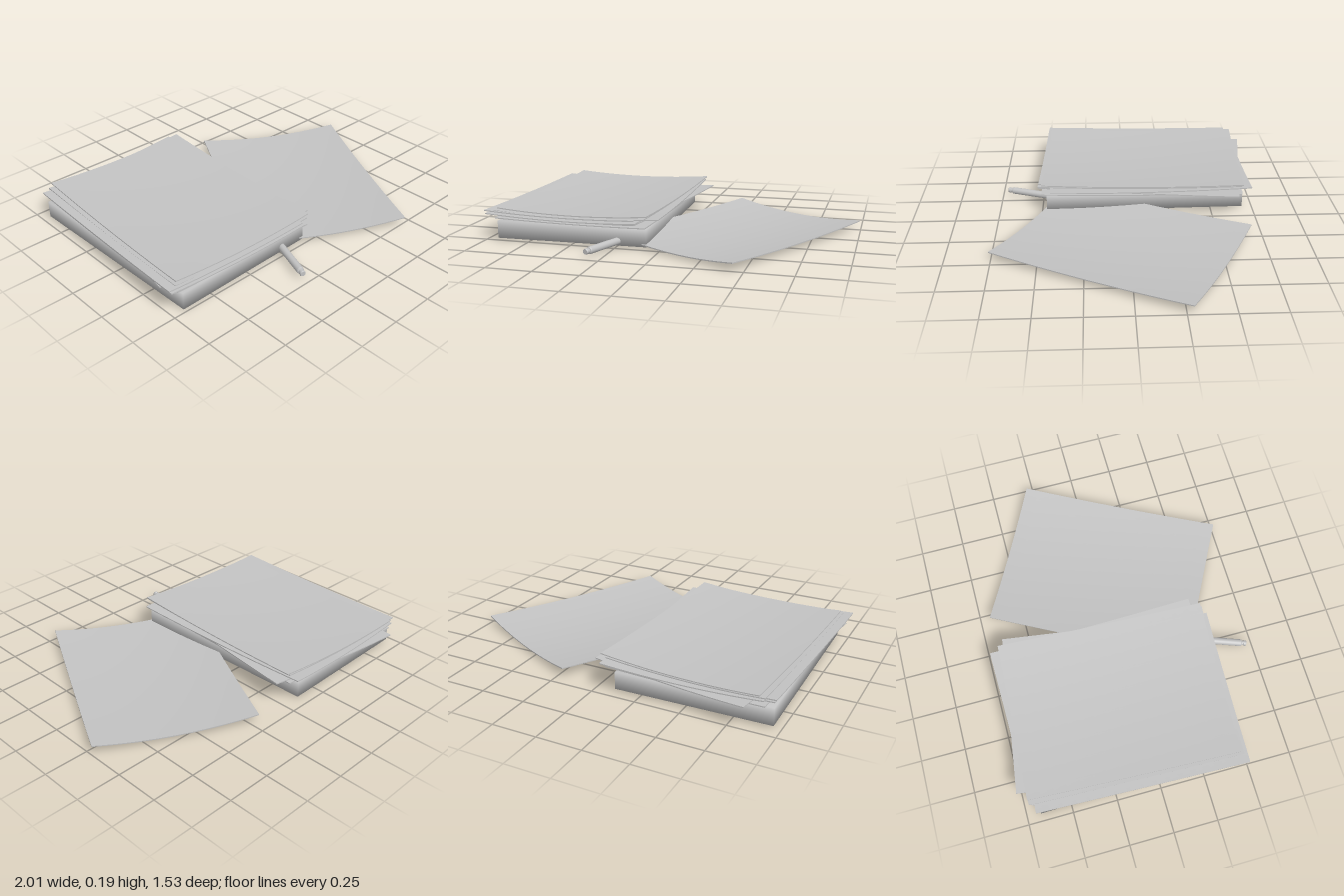
import * as THREE from 'three';
import { mergeVertices } from 'three/addons/utils/BufferGeometryUtils.js';

const W = 0.88, L = 1.18, T = 0.006;

export function createModel() {
  const group = new THREE.Group();
  const paper = new THREE.MeshStandardMaterial({ color: 0xc2c2c2 });
  paper.name = 'plain grey';

  function add(name, geometry, x, y, z, turn = 0) {
    const mesh = new THREE.Mesh(geometry, paper);
    mesh.name = name;
    mesh.position.set(x, y, z);
    mesh.rotation.y = turn;
    group.add(mesh);
    return mesh;
  }

  // A thin sheet bowed upwards across (a) and along (b), with sideways and lengthwise tilt
  function sheet(a, b, tiltX = 0, tiltZ = 0) {
    const g = new THREE.BoxGeometry(W, T, L, 16, 1, 16);
    const p = g.attributes.position;
    for (let i = 0; i < p.count; i++) {
      const u = p.getX(i) / (W / 2), v = p.getZ(i) / (L / 2);
      p.setY(i, p.getY(i) + a * u * u + b * v * v + tiltX * u + tiltZ * v);
    }
    g.computeVertexNormals();
    return g;
  }

  // Solid ream with softly shared corner normals
  let block = new THREE.BoxGeometry(0.855, 0.097, 1.16);
  block.deleteAttribute('normal');
  block.deleteAttribute('uv');
  block = mergeVertices(block);
  block.computeVertexNormals();
  add('ream', block, -0.52, 0.0595, -0.1, 0.021);

  // Loose sheets stacked on the ream: x, y, z, turn, bow across, bow along, tilts
  [
    [-0.50, 0.110, -0.10, -0.030, 0.006, 0.004, 0, 0],
    [-0.486, 0.117, -0.125, -0.139, 0.012, 0.006, 0.004, 0],
    [-0.545, 0.124, -0.08, -0.036, 0.014, 0.008, 0, 0],
    [-0.47, 0.131, -0.135, 0.017, 0.016, 0.010, 0.002, -0.002],
    [-0.505, 0.138, -0.10, -0.036, 0.018, 0.010, 0.002, -0.002],
    [-0.555, 0.143, -0.085, -0.036, 0.013, 0.006, 0, 0],
    [-0.485, 0.150, -0.11, -0.045, 0.020, 0.012, 0.004, -0.004],
  ].forEach(([x, y, z, turn, ...bow], i) => add('stackedSheet' + (i + 1), sheet(...bow), x, y, z, turn));

  // Fallen sheet leaning out from under the ream
  add('fallenSheet', sheet(0.033, 0.014, -0.004, 0), 0.33, 0.004, 0.035, -0.482);

  // Pen lying partly under the stack, turned profile along its own axis
  const profile = [
    [0, 0], [0.014, 0], [0.016, 0.004], [0.016, 0.016], [0.013, 0.018], [0.013, 0.026],
    [0.018, 0.028], [0.02, 0.034], [0.02, 0.46], [0.016, 0.47], [0.004, 0.53], [0, 0.535],
  ].flatMap(([r, y], i, all) => {
    const pt = new THREE.Vector2(r, y);
    return i > 0 && i < all.length - 1 ? [pt, pt.clone()] : [pt];
  });
  const penShape = new THREE.LatheGeometry(profile, 20);
  penShape.rotateX(-Math.PI / 2);
  const flip = penShape.clone();
  flip.rotateY(0);
  add('pen', flip, -0.332, 0.035, 0.715, -0.35);

  return group;
}
